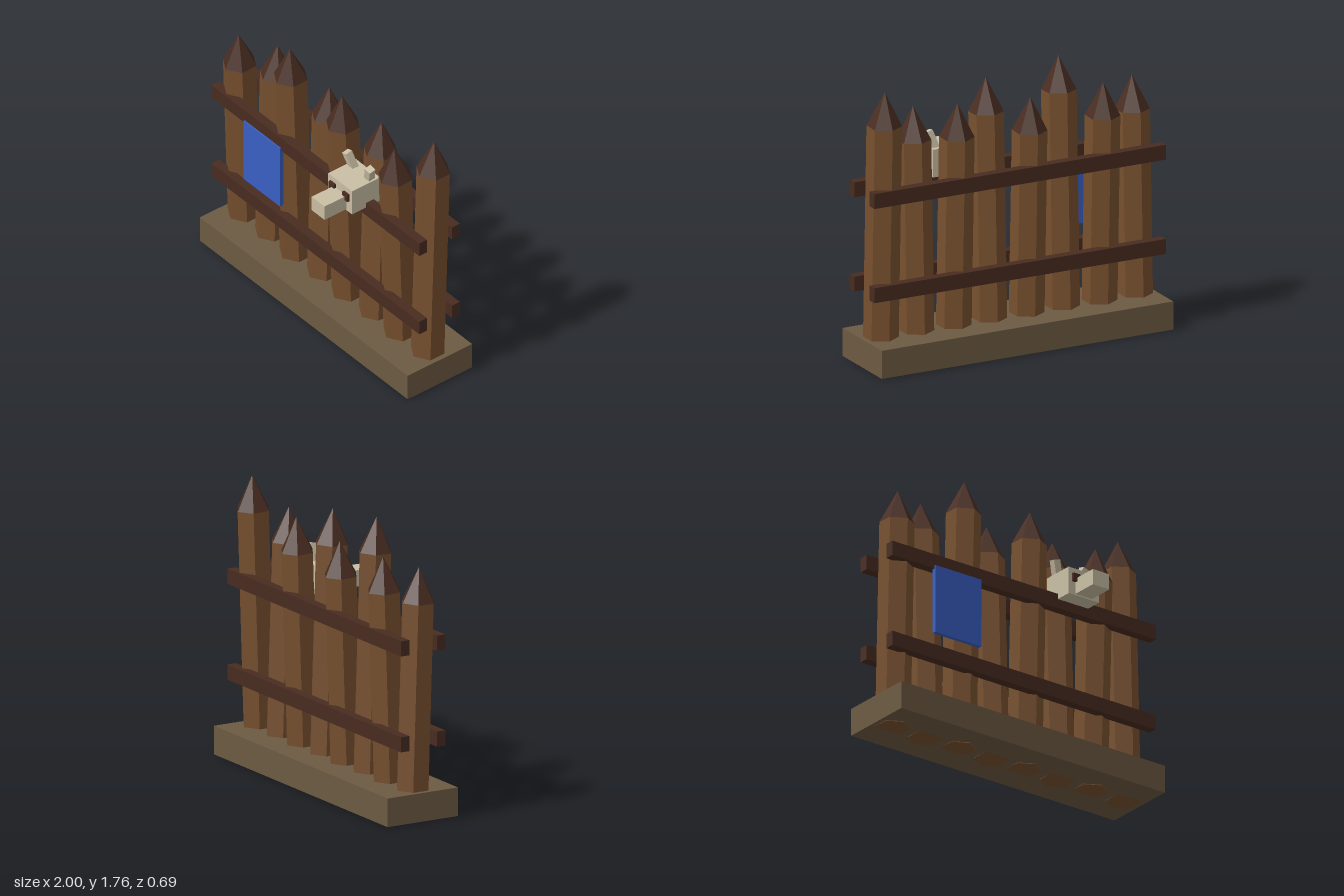
import * as THREE from 'three';

const mat = (color) => new THREE.MeshStandardMaterial({ color, flatShading: true });

export function createModel() {
  const model = new THREE.Group();
  const wood = mat(0x77502f), darkWood = mat(0x482c20), earth = mat(0x6c5a42);
  const bone = mat(0xcabfa5), blue = mat(0x3a5fc4);

  const add = (parent, name, geometry, material, x, y, z) => {
    const mesh = new THREE.Mesh(geometry, material);
    mesh.name = name;
    mesh.position.set(x, y, z);
    parent.add(mesh);
    return mesh;
  };
  // box given by its minimum and maximum corners
  const box = (parent, name, material, x0, x1, y0, y1, z0, z1) =>
    add(parent, name, new THREE.BoxGeometry(x1 - x0, y1 - y0, z1 - z0), material,
      (x0 + x1) / 2, (y0 + y1) / 2, (z0 + z1) / 2);

  box(model, 'base', earth, -1, 1, 0.006, 0.185, -0.345, 0.155);

  // sharpened six-sided stakes, leaning alternately forward and back
  const radius = 0.108, tipHeight = 0.215;
  [1.345, 1.368, 1.545, 1.352, 1.484, 1.388, 1.382, 1.538].forEach((height, i) => {
    const stake = new THREE.Group();
    stake.name = 'stake' + (i + 1);
    stake.position.set(-0.875 + i * 0.25, 0.004, -0.095);
    stake.rotation.x = i % 2 ? -0.032 : 0.032;
    add(stake, 'shaft', new THREE.CylinderGeometry(radius, radius, height, 6), wood, 0, height / 2, 0);
    add(stake, 'point', new THREE.ConeGeometry(radius, tipHeight, 6), darkWood, 0, height + tipHeight / 2, 0);
    model.add(stake);
  });

  // cross rails, two on each side
  for (const y of [0.46, 1.06]) {
    box(model, 'frontRail', darkWood, -1, 1, y, y + 0.095, 0.005, 0.065);
    box(model, 'backRail', darkWood, -1, 1, y, y + 0.095, -0.25, -0.19);
  }

  box(model, 'banner', blue, -0.68, -0.33, 0.635, 1.08, 0.047, 0.074);

  // animal skull with eye sockets and splayed horns
  const skull = new THREE.Group();
  skull.name = 'skull';
  skull.position.set(0.372, 0, 0);
  model.add(skull);
  box(skull, 'cranium', bone, -0.115, 0.115, 1.12, 1.297, -0.045, 0.173);
  box(skull, 'snout', bone, -0.062, 0.062, 1.13, 1.232, 0.16, 0.344);
  for (const side of [-1, 1]) {
    add(skull, 'eyeSocket', new THREE.BoxGeometry(0.052, 0.052, 0.03), darkWood, side * 0.065, 1.233, 0.175);
    const horn = add(skull, 'horn', new THREE.BoxGeometry(0.046, 0.14, 0.046), bone, side * 0.089, 1.33, 0.016);
    horn.rotation.set(0.22, 0, -side * 0.32);
  }
  return model;
}
